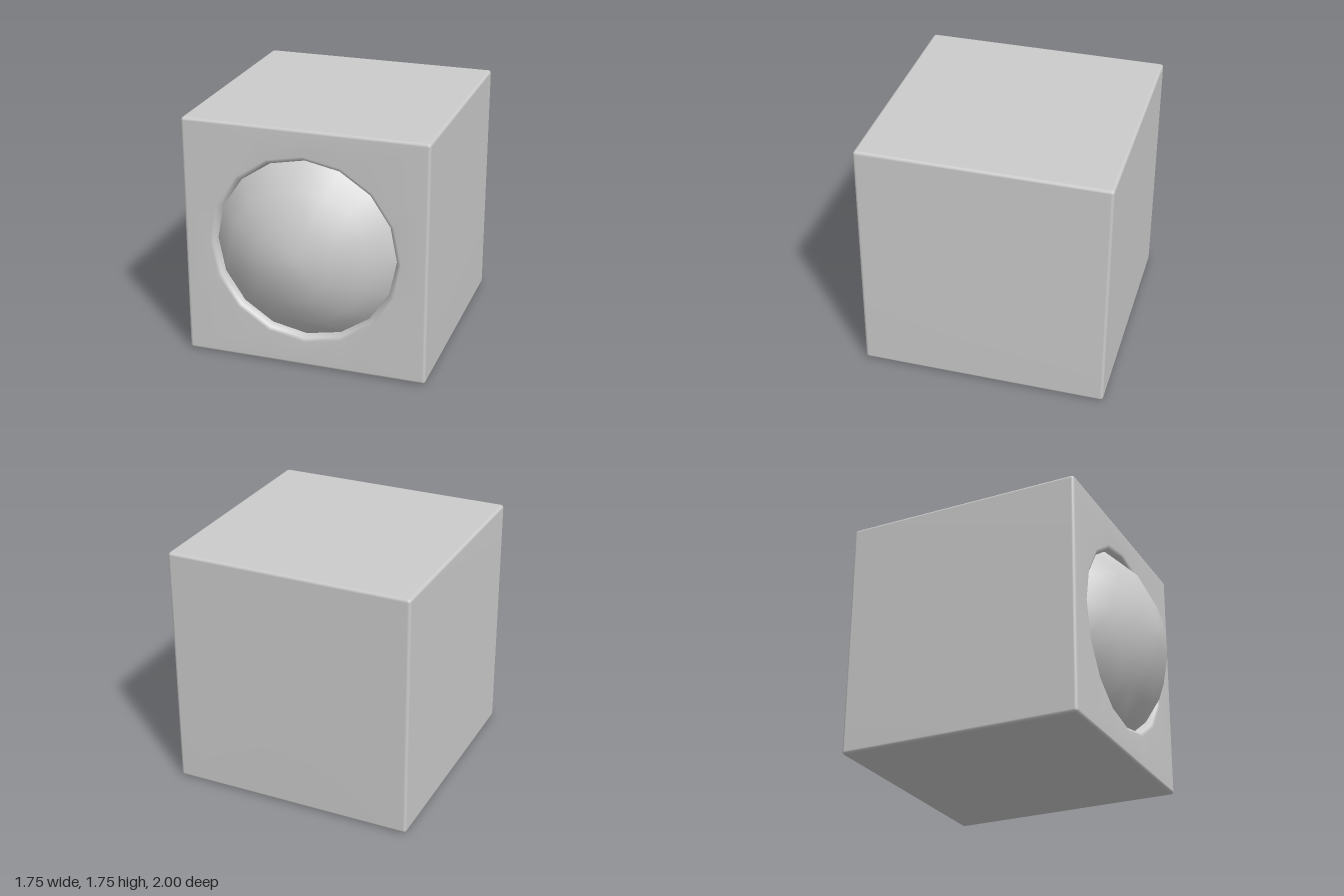
import * as THREE from 'three';
import { mergeVertices } from 'three/addons/utils/BufferGeometryUtils.js';

const SIDES = 16, HALF = 0.875, BEVEL = 0.022, ARC = 4, CORE = HALF - BEVEL;

// Square outline of half-size CORE grown by r, with rounded corners
function squareRing(r, z) {
  const pts = [];
  for (let k = 0; k < SIDES; k++) {
    const a = (k / SIDES) * Math.PI * 2, c = Math.cos(a), s = Math.sin(a);
    if (k % 4 === 2) {
      for (let n = 0; n < ARC; n++) {
        const b = a + (n / (ARC - 1) - 0.5) * Math.PI / 2;
        pts.push([Math.sign(c) * CORE + r * Math.cos(b), Math.sign(s) * CORE + r * Math.sin(b), z]);
      }
    } else {
      const m = (CORE + r) / Math.max(Math.abs(c), Math.abs(s));
      pts.push([c * m, s * m, z]);
    }
  }
  return pts;
}

// Sixteen-sided outline with as many points as the square outline
function roundRing(r, z) {
  const pts = [];
  for (let k = 0; k < SIDES; k++) {
    const a = (k / SIDES) * Math.PI * 2;
    for (let n = 0; n < (k % 4 === 2 ? ARC : 1); n++) pts.push([r * Math.cos(a), r * Math.sin(a), z]);
  }
  return pts;
}

// Skin over a row of closed rings
function loft(rings) {
  const n = rings[0].length, index = [];
  for (let i = 0; i < rings.length - 1; i++) {
    for (let j = 0; j < n; j++) {
      const a = i * n + j, b = i * n + (j + 1) % n;
      index.push(a, b, b + n, a, b + n, a + n);
    }
  }
  const geo = new THREE.BufferGeometry();
  geo.setAttribute('position', new THREE.Float32BufferAttribute(rings.flat(2), 3));
  geo.setIndex(index);
  const merged = mergeVertices(geo, 1e-5);
  merged.computeVertexNormals();
  return merged;
}

export function createModel() {
  const group = new THREE.Group();
  const material = new THREE.MeshStandardMaterial({ color: 0xcccccc });

  // Cube with softened edges and a round recess in the front
  const rings = [roundRing(0, -1)];
  const steps = 3;
  for (let i = 0; i <= steps; i++) {
    const t = (i / steps) * Math.PI / 2;
    rings.push(squareRing(BEVEL * Math.sin(t), -1 + BEVEL * (1 - Math.cos(t))));
  }
  for (let i = steps; i >= 0; i--) {
    const t = (i / steps) * Math.PI / 2;
    rings.push(squareRing(BEVEL * Math.sin(t), 0.75 - BEVEL * (1 - Math.cos(t))));
  }
  for (const [r, z] of [[0.69, 0.75], [0.665, 0.738], [0.648, 0.7], [0.64, 0.6]]) rings.push(roundRing(r, z));
  const body = new THREE.Mesh(loft(rings), material);
  body.name = 'body';
  body.position.y = HALF;
  group.add(body);

  // Domed lens bulging out of the recess
  const profile = [[0.72, 0.58], [0.64, 0.71], [0.49, 0.855], [0.27, 0.96], [0.09, 0.998], [0, 1]];
  const domeGeo = new THREE.LatheGeometry(profile.map(([r, z]) => new THREE.Vector2(r, z)), SIDES);
  domeGeo.rotateX(Math.PI / 2);
  const dome = new THREE.Mesh(domeGeo, material);
  dome.name = 'dome';
  dome.position.y = HALF + 0.005;
  group.add(dome);

  return group;
}
